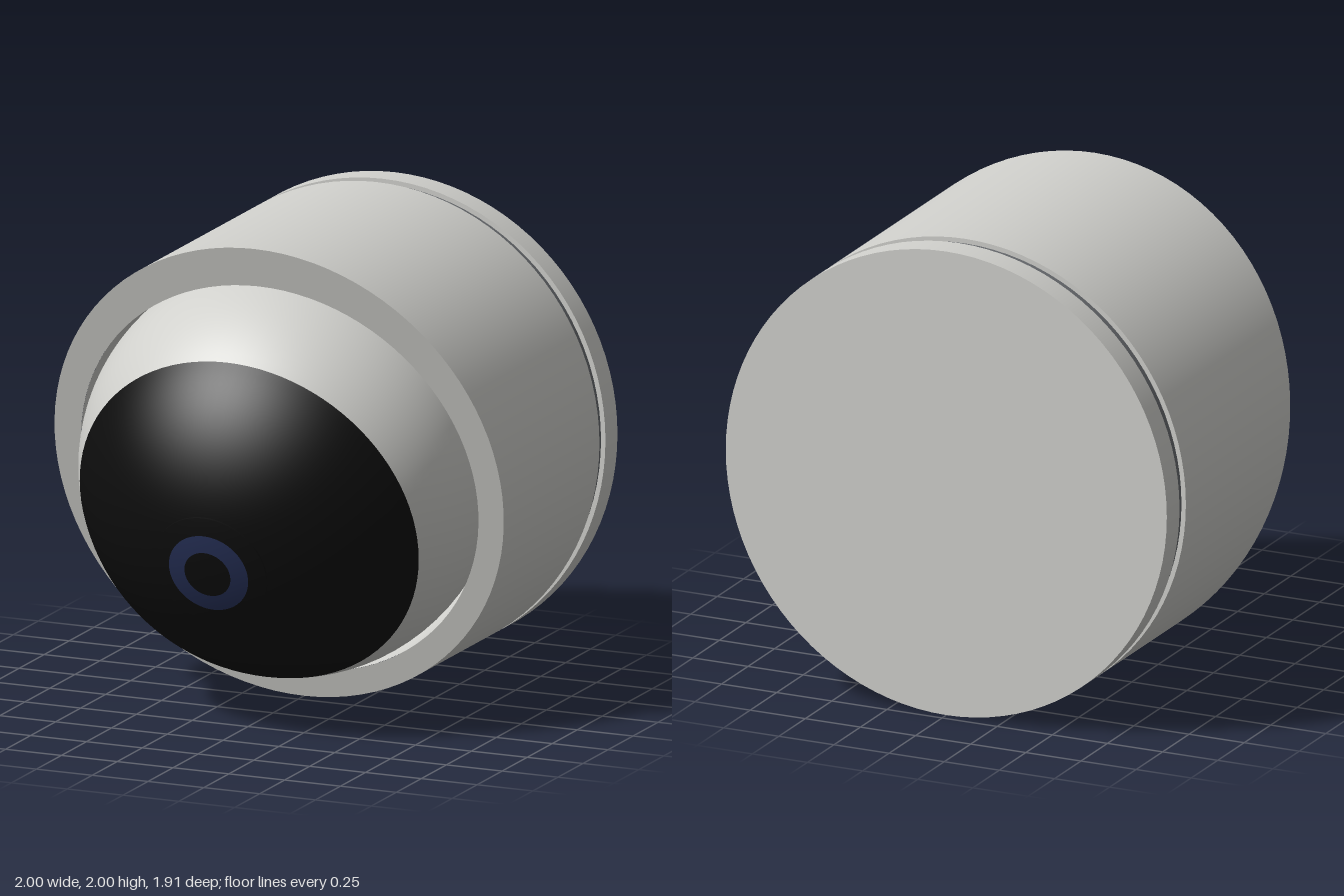
import * as THREE from 'three';

const SEG = 96;
const BALL_R = 0.866, LENS_R = 0.874, CAVITY_R = 0.891;
const BALL_Z = 0.08, BALL_TILT = 0.31;
const RIM_TILT = Math.atan(0.25);
const rimZ = (y) => 0.19 + 0.25 * y; // slanted front plane of the housing

const paint = (name, color) => {
  const m = new THREE.MeshStandardMaterial({ color });
  m.name = name;
  return m;
};

// Spherical band about +z, from polar angle a to b in degrees (a > b faces outward)
function band(r, a, b, steps) {
  const pts = [];
  for (let i = 0; i <= steps; i++) {
    const t = THREE.MathUtils.degToRad(a + ((b - a) * i) / steps);
    pts.push(new THREE.Vector2(Math.max(0, r * Math.sin(t)), r * Math.cos(t)));
  }
  return new THREE.LatheGeometry(pts, SEG).rotateX(Math.PI / 2);
}

// Cylinder along z between z0 and z1
function drum(r, z0, z1, open) {
  return new THREE.CylinderGeometry(r, r, z1 - z0, SEG, 1, open)
    .rotateX(Math.PI / 2).translate(0, 0, (z0 + z1) / 2);
}

export function createModel() {
  const shell = paint('light grey shell', 0xd0d0cc);
  const dark = paint('dark grey groove', 0x696c70);
  const black = paint('gloss black', 0x0d0d0d);
  const blue = paint('navy ring', 0x263057);

  const model = new THREE.Group();
  model.name = 'domeCamera';
  const add = (parent, name, geometry, material) => {
    const mesh = new THREE.Mesh(geometry, material);
    mesh.name = name;
    parent.add(mesh);
    return mesh;
  };

  // Housing: mounting plate, recessed groove, slant-cut tube
  const housing = new THREE.Group();
  housing.name = 'housing';
  housing.position.y = 1;
  model.add(housing);
  add(housing, 'mountingPlate', drum(1, -0.96, -0.84, false), shell);
  add(housing, 'groove', drum(0.98, -0.84, -0.78, true), dark);
  add(housing, 'backLip',
    new THREE.RingGeometry(0.97, 1, SEG, 1).rotateY(Math.PI).translate(0, 0, -0.78), shell);

  const wall = drum(1, -0.78, 0.19, true);
  const wp = wall.attributes.position;
  for (let i = 0; i < wp.count; i++) if (wp.getZ(i) > 0) wp.setZ(i, rimZ(wp.getY(i)));
  add(housing, 'outerWall', wall, shell);

  // Slanted rim whose opening is the cut through the round socket
  const rim = new THREE.RingGeometry(0.885, 1, SEG, 1);
  const rp = rim.attributes.position;
  for (let i = 0; i < rp.count; i++) {
    if (Math.hypot(rp.getX(i), rp.getY(i)) < 0.95) {
      rp.setY(i, rp.getY(i) * Math.cos(RIM_TILT) - 0.026);
    }
    rp.setZ(i, rimZ(rp.getY(i)));
  }
  rim.computeVertexNormals();
  add(housing, 'frontRim', rim, shell);

  const socket = add(housing, 'socket', band(CAVITY_R, 83.1, 180, 32), shell);
  socket.position.z = BALL_Z;
  socket.rotation.x = RIM_TILT;

  // Tilted ball with black face
  const ball = new THREE.Group();
  ball.name = 'ball';
  ball.position.set(0, 1, BALL_Z);
  ball.rotation.x = BALL_TILT;
  model.add(ball);
  add(ball, 'ballShell', band(BALL_R, 180, 60.3, 40), shell);
  add(ball, 'blackFace', band(BALL_R, 60.3, 0, 28), black);

  // Raised lens cover with a coloured ring
  const edge = THREE.MathUtils.degToRad(16.6);
  const edgeZ = LENS_R * Math.cos(edge);
  add(ball, 'lensEdge', drum(LENS_R * Math.sin(edge), edgeZ - 0.02, edgeZ, true), black);
  add(ball, 'lensCover', band(LENS_R, 16.6, 11.6, 4), black);
  add(ball, 'lensRing', band(LENS_R, 11.6, 6.7, 4), blue);
  add(ball, 'lensCentre', band(LENS_R, 6.7, 0, 5), black);

  return model;
}
